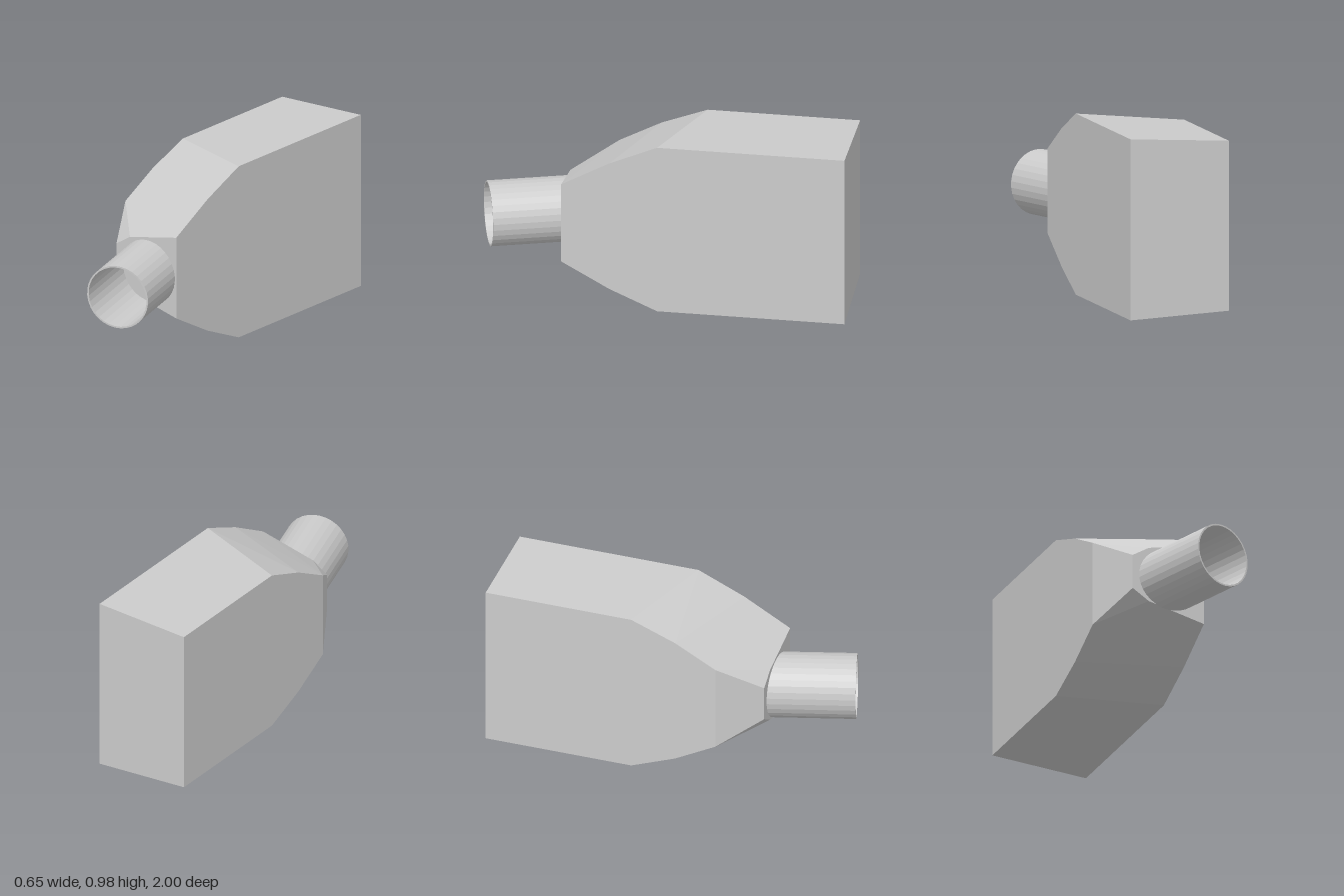
import * as THREE from 'three';
import { ConvexGeometry } from 'three/addons/geometries/ConvexGeometry.js';

const MID_Y = 0.492;

function material() {
  return new THREE.MeshStandardMaterial({ color: 0xcccccc, flatShading: true });
}

// Tapered box: half-heights at [x, half, z], mirrored above and below the middle
function createBody() {
  const stations = [
    // left wall, back to front
    [0.225, 0.492, -1], [0.225, 0.492, 0.02], [0.225, 0.378, 0.28], [0.225, 0.232, 0.542],
    // right wall, back to front
    [-0.327, 0.462, -1], [-0.327, 0.462, -0.17], [-0.327, 0.366, 0.08], [-0.327, 0.243, 0.31],
    // bevelled edge of the front face
    [-0.195, 0.098, 0.542], [-0.1, 0.158, 0.542],
  ];
  const points = stations.flatMap(([x, h, z]) =>
    [1, -1].map((s) => new THREE.Vector3(x, MID_Y + s * h, z)));
  const mesh = new THREE.Mesh(new ConvexGeometry(points), material());
  mesh.name = 'body';
  return mesh;
}

// Open pipe leaning to the left, its base cut level with the front face
function createPipe() {
  const outer = 0.178, inner = 0.169, length = 0.5, baseZ = 0.538;
  const profile = [[outer, -length], [outer, 0], [inner, 0], [inner, -length]]
    .map(([r, y]) => new THREE.Vector2(r, y));
  const geometry = new THREE.LatheGeometry(profile, 32);
  const axis = new THREE.Vector3(0.294, 0, 0.956).normalize();
  geometry.applyQuaternion(
    new THREE.Quaternion().setFromUnitVectors(new THREE.Vector3(0, 1, 0), axis));
  geometry.translate(0.154, 0.483, 0.948);

  // slide the base ring along the axis onto the front face
  const pos = geometry.attributes.position;
  const v = new THREE.Vector3();
  for (let i = 0; i < pos.count; i++) {
    if (i % 4 === 1 || i % 4 === 2) continue;
    v.fromBufferAttribute(pos, i);
    v.addScaledVector(axis, (baseZ - v.z) / axis.z);
    pos.setXYZ(i, v.x, v.y, v.z);
  }
  geometry.computeVertexNormals();
  const mat = material();
  mat.side = THREE.DoubleSide;
  const mesh = new THREE.Mesh(geometry, mat);
  mesh.name = 'pipe';
  return mesh;
}

export function createModel() {
  const group = new THREE.Group();
  group.name = 'ductAdapter';
  group.add(createBody(), createPipe());
  return group;
}
